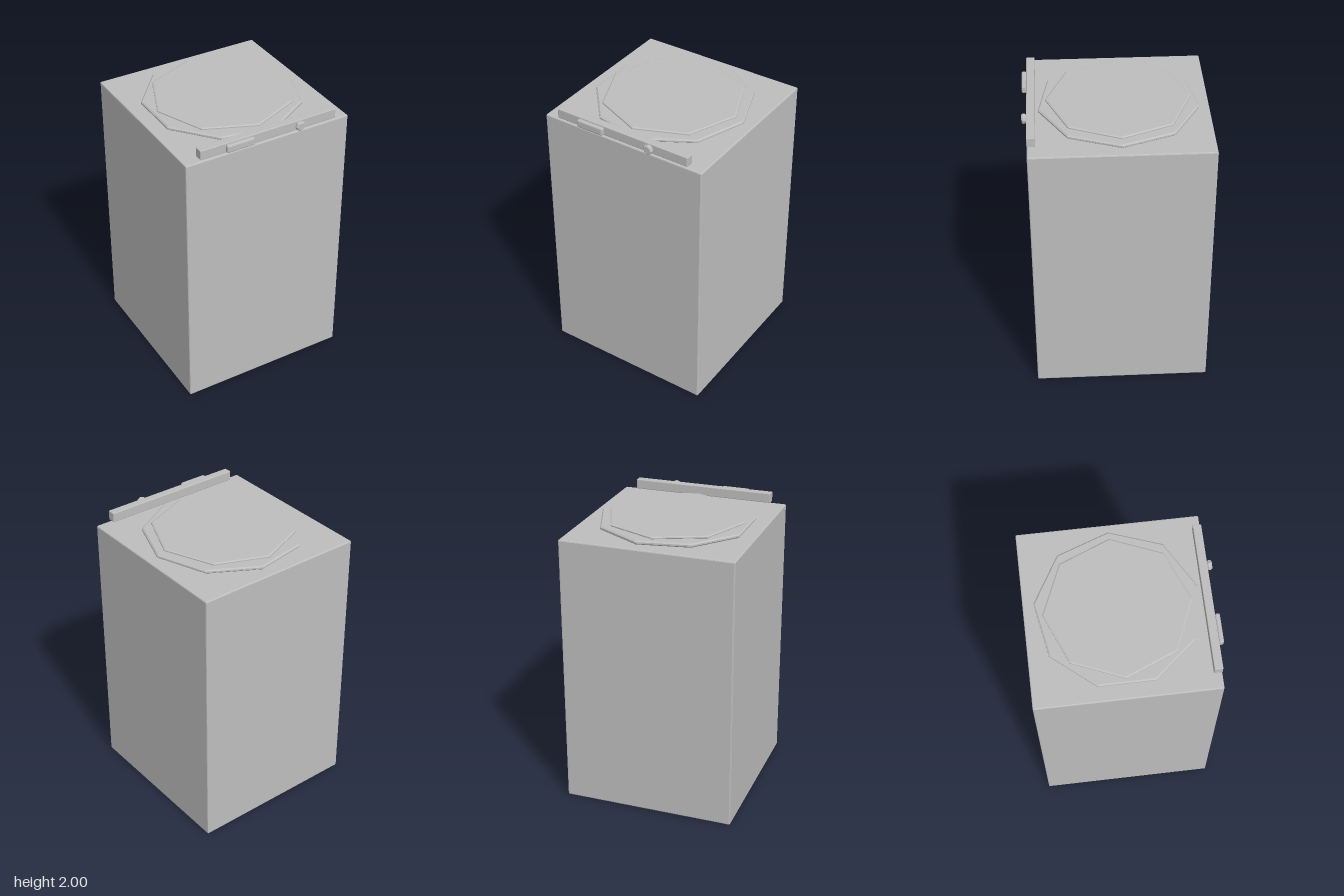
import * as THREE from 'three';
import { RoundedBoxGeometry } from 'three/addons/geometries/RoundedBoxGeometry.js';

const grey = new THREE.MeshStandardMaterial({ color: 0xbebebe, flatShading: true });
grey.name = 'light grey';

// Box with bevelled edges, given by its min and max corners
function bevelBox(name, min, max, bevel) {
  const size = max.map((v, i) => v - min[i]);
  const mesh = new THREE.Mesh(new RoundedBoxGeometry(...size, 1, bevel), grey);
  mesh.name = name;
  mesh.position.set(...max.map((v, i) => (v + min[i]) / 2));
  return mesh;
}

// Polygonal disc with bevelled rims, one corner pointing to +x
function bevelDisc(name, radius, height, sides, bevel) {
  const h = height / 2;
  const inset = radius - bevel;
  const rise = Math.min(bevel, h * 0.6);
  const profile = [
    [0, -h], [inset, -h], [radius, -h + rise],
    [radius, h - rise], [inset, h], [0, h],
  ].map(([r, y]) => new THREE.Vector2(r, y));
  const mesh = new THREE.Mesh(new THREE.LatheGeometry(profile, sides, Math.PI / 2), grey);
  mesh.name = name;
  return mesh;
}

export function createModel() {
  const model = new THREE.Group();
  model.name = 'topLoadingWasher';

  // Cabinet
  model.add(bevelBox('cabinet', [-0.602, 0, -0.617], [0.602, 1.92, 0.585], 0.008));

  // Lid: nine-sided rim below an eight-sided panel
  const rim = bevelDisc('lidRim', 0.537, 0.027, 9, 0.01);
  rim.position.set(0, 1.9385, -0.017);
  const panel = bevelDisc('lidPanel', 0.48, 0.018, 8, 0.01);
  panel.position.set(0, 1.963, -0.017);
  model.add(rim, panel);

  // Control bar with display and knob on its front
  model.add(bevelBox('controlBar', [-0.5, 1.932, 0.53], [0.5, 2, 0.586], 0.005));
  model.add(bevelBox('display', [-0.324, 1.942, 0.586], [-0.125, 1.995, 0.617], 0.009));
  const knob = bevelDisc('knob', 0.034, 0.031, 8, 0.008);
  knob.rotation.set(Math.PI / 2, 0, 0);
  knob.position.set(0.22, 1.967, 0.6015);
  model.add(knob);

  return model;
}
